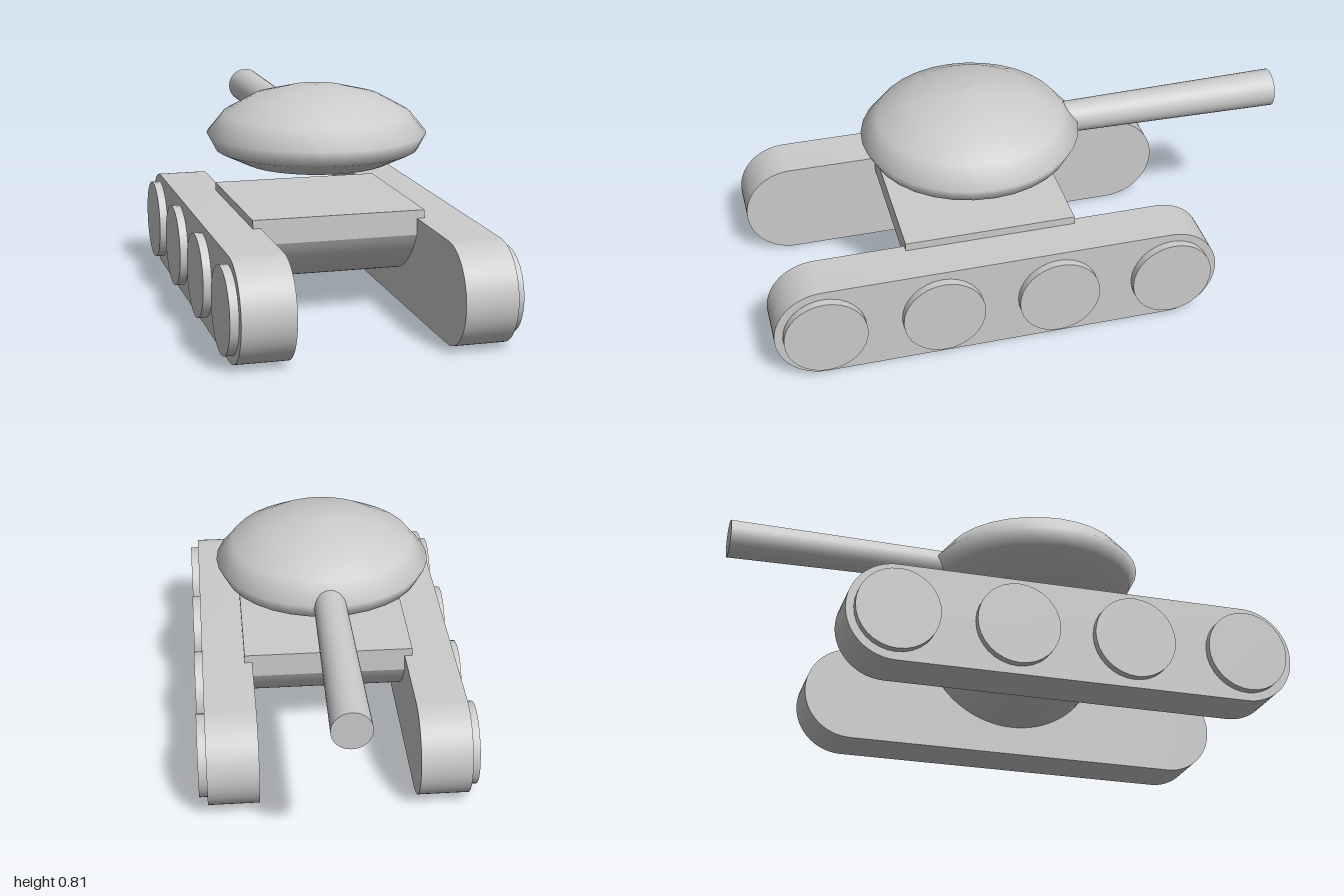
import * as THREE from 'three';
import { toCreasedNormals } from 'three/addons/utils/BufferGeometryUtils.js';

const material = new THREE.MeshStandardMaterial({ color: 0xcccccc });

function part(name, geometry, x = 0, y = 0, z = 0) {
  const mesh = new THREE.Mesh(geometry, material);
  mesh.name = name;
  mesh.position.set(x, y, z);
  return mesh;
}

// Extrudes a side profile (drawn in z, y) across x, centred on x = 0
function extrudeAcross(shape, width) {
  const geo = new THREE.ExtrudeGeometry(shape, { depth: width, bevelEnabled: false, curveSegments: 20 });
  geo.translate(0, 0, -width / 2);
  geo.rotateY(-Math.PI / 2); // shape x becomes z
  return toCreasedNormals(geo, 0.6);
}

export function createModel() {
  const model = new THREE.Group();
  model.name = 'tank';

  // Tracks: rounded-end bands with four wheel discs on the outer side
  const r = 0.18, rear = -0.462, front = 0.82;
  const band = new THREE.Shape();
  band.moveTo(rear, 0);
  band.lineTo(front, 0);
  band.absarc(front, r, r, -Math.PI / 2, Math.PI / 2, false);
  band.lineTo(rear, 2 * r);
  band.absarc(rear, r, r, Math.PI / 2, Math.PI * 1.5, false);
  const bandGeo = extrudeAcross(band, 0.185);
  const wheelGeo = new THREE.CylinderGeometry(0.15, 0.15, 0.06, 32).rotateZ(Math.PI / 2);

  for (const side of [1, -1]) {
    const track = new THREE.Group();
    track.name = side > 0 ? 'leftTrack' : 'rightTrack';
    track.add(part('trackBand', bandGeo, side * 0.3775, 0, 0));
    for (let i = 0; i < 4; i++) {
      track.add(part('wheel', wheelGeo, side * 0.47, r, 0.82 - i * 0.428));
    }
    model.add(track);
  }

  // Hull: flat deck over a shallow rounded belly
  model.add(part('deck', new THREE.BoxGeometry(0.626, 0.09, 0.63), 0, 0.345, 0.175));
  const half = 0.315, depth = 0.19;
  const R = (half * half + depth * depth) / (2 * depth);
  const a = Math.asin(half / R);
  const belly = new THREE.Shape();
  belly.absarc(0.175, 0.11 + R, R, -Math.PI / 2 - a, -Math.PI / 2 + a, false);
  belly.closePath();
  model.add(part('belly', extrudeAcross(belly, 0.6)));

  // Turret: lens-shaped dome floating above the deck
  const profile = [
    [0, 0.49], [0.1, 0.497], [0.265, 0.525], [0.37, 0.575], [0.4, 0.632],
    [0.34, 0.705], [0.23, 0.765], [0.1, 0.797], [0, 0.805],
  ].map(([x, y]) => new THREE.Vector2(x, y));
  model.add(part('turret', new THREE.LatheGeometry(profile, 32), 0, 0, 0.175));

  // Barrel: widens slightly toward the muzzle at the back
  const barrelGeo = new THREE.CylinderGeometry(0.057, 0.07, 0.95, 32).rotateX(Math.PI / 2);
  model.add(part('barrel', barrelGeo, 0, 0.62, -0.525));

  return model;
}
